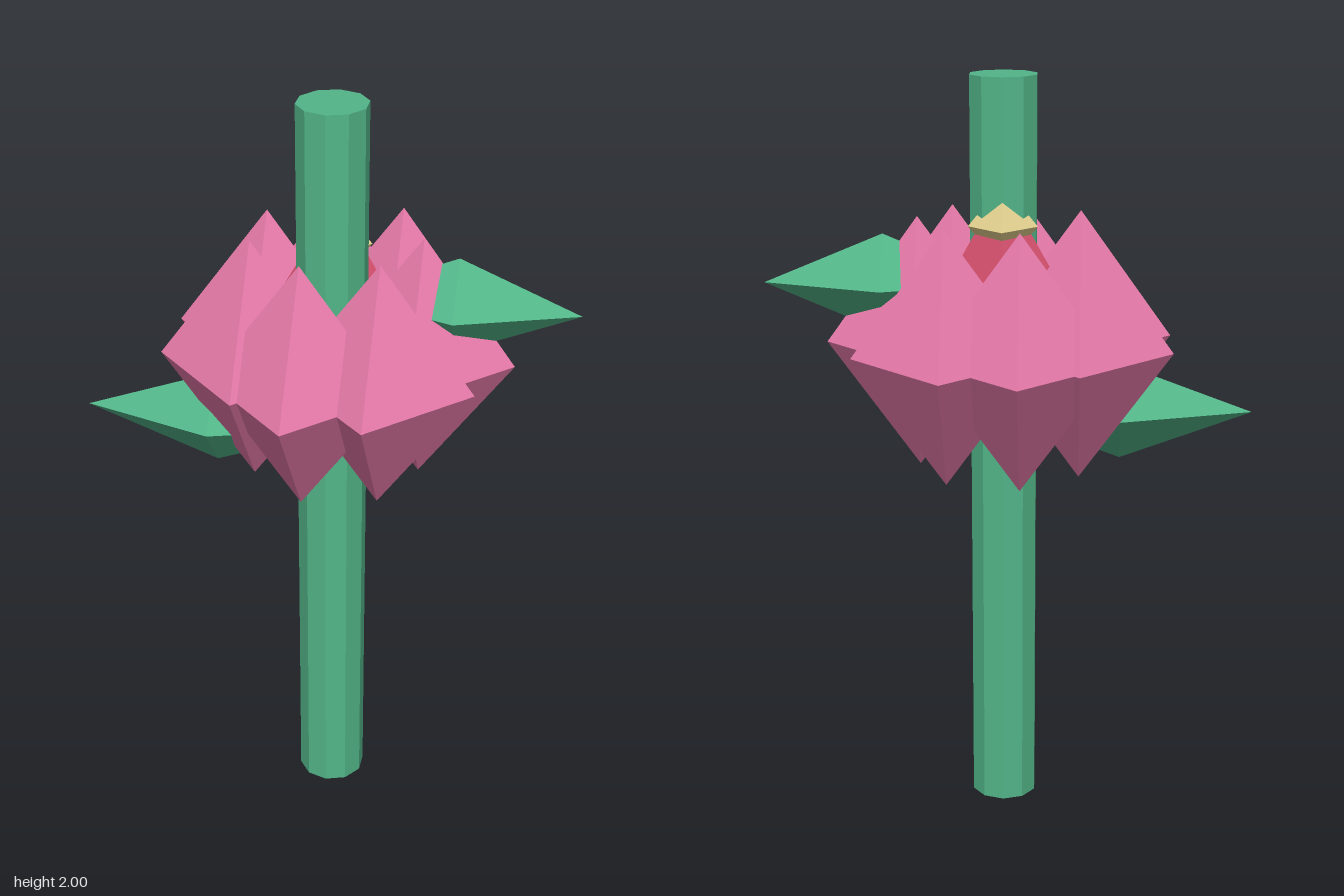
import * as THREE from 'three';

export function createModel() {
  const group = new THREE.Group();
  group.name = 'flower';

  const paint = (color) => new THREE.MeshStandardMaterial({ color, flatShading: true });
  const green = paint(0x52b588);
  const pink = paint(0xe87bab);
  const red = paint(0xd6506e);
  const yellow = paint(0xe6d391);

  const add = (name, geometry, material, position) => {
    const mesh = new THREE.Mesh(geometry, material);
    mesh.name = name;
    mesh.position.set(...position);
    group.add(mesh);
  };

  // Eight-sided gem with its own radius along each axis
  const gem = (rx, ry, rz) => new THREE.OctahedronGeometry(1, 0).scale(rx, ry, rz);

  // Ten-sided stem, a little in front of the bloom's centre
  add('stem', new THREE.CylinderGeometry(0.09, 0.09, 2, 10), green, [0.02, 1, 0.055]);

  // Ring of seven overlapping petals (x, z)
  const petal = gem(0.24, 0.333, 0.24);
  const ring = [
    [0.24, 0], [0.16, 0.173], [-0.03, 0.217], [-0.18, 0.096],
    [-0.18, -0.098], [-0.03, -0.22], [0.16, -0.177],
  ];
  ring.forEach(([x, z], i) => add(`petal${i + 1}`, petal, pink, [x, 1.313, z]));

  // Heart of the bloom
  add('innerBud', gem(0.18, 0.32, 0.17), red, [0.02, 1.41, 0]);
  add('pollenTip', gem(0.09, 0.11, 0.09), yellow, [0.02, 1.62, 0]);

  // Pointed leaves
  add('leftLeaf', gem(0.31, 0.13, 0.11), green, [0.33, 1.47, 0]);
  add('rightLeaf', gem(0.35, 0.13, 0.11), green, [-0.29, 1.115, 0.055]);

  return group;
}
